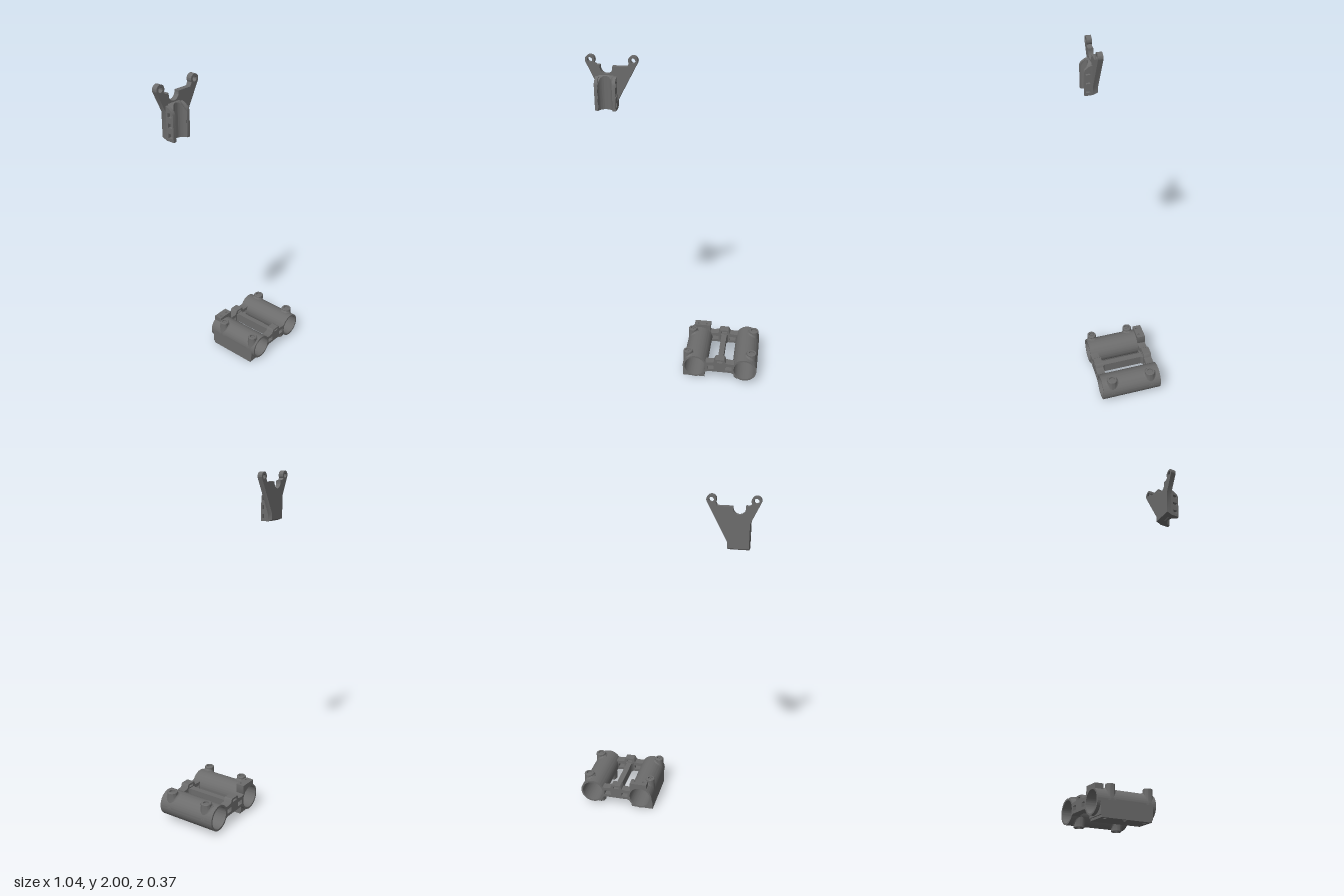
import * as THREE from 'three';
import { toCreasedNormals } from 'three/addons/utils/BufferGeometryUtils.js';

const material = new THREE.MeshStandardMaterial({ color: 0x6c6c6c });
const OUTER = 0.077, BORE = 0.066, WALL = 0.071, AXIS = 0.097, HALF = 0.186;

function add(parent, name, geometry, x = 0, y = 0, z = 0) {
  const mesh = new THREE.Mesh(toCreasedNormals(geometry, 0.6), material);
  mesh.name = name;
  mesh.position.set(x, y, z);
  parent.add(mesh);
  return mesh;
}

// Extrusion along z that starts at z0
function extrude(shape, z0, depth) {
  return new THREE.ExtrudeGeometry(shape, { depth, bevelEnabled: false, curveSegments: 40 }).translate(0, 0, z0);
}

function polygon(points, Type = THREE.Shape) {
  return new Type(points.map(([x, y]) => new THREE.Vector2(x, y)));
}
const rect = (x0, y0, x1, y1, Type) => polygon([[x0, y0], [x1, y0], [x1, y1], [x0, y1]], Type);
const circle = (x, y, r) => new THREE.Path().absarc(x, y, r, 0, Math.PI * 2, true);

// Flat plate in x and z, hanging below y = top, with round holes at [x, z]
function addDrilledPlate(parent, name, outline, top, height, holes, r) {
  for (const [x, z] of holes) outline.holes.push(circle(x, z, r));
  add(parent, name, extrude(outline, 0, height).rotateX(Math.PI / 2), 0, top);
}

// Round screw boss whose flared foot follows the tube wall, in tube coordinates
function addBoss(parent, name, x, z, r) {
  const top = 0.096, hole = r * 0.56, foot = 0.02;
  const profile = [[r + 0.012, 0], [r + 0.01, 0.007], [r + 0.004, 0.01], [r, 0.016],
    [r, top - 0.004], [r - 0.003, top], [hole, top], [hole, top - 0.01], [0.0001, top - 0.01]];
  const geometry = new THREE.LatheGeometry(profile.map(([a, b]) => new THREE.Vector2(a, b)), 36);
  const p = geometry.attributes.position;
  for (let i = 0; i < p.count; i++) {
    const px = THREE.MathUtils.clamp(p.getX(i) + x, -OUTER, OUTER);
    p.setX(i, px - x);
    if (p.getY(i) < foot) p.setY(i, p.getY(i) + Math.sqrt(Math.max(0, WALL ** 2 - px ** 2)));
  }
  add(parent, name, geometry, x, 0, z);
}

function addTube(parent, name, x) {
  const tube = new THREE.Group();
  tube.name = name;
  tube.position.set(x, AXIS, 0);
  parent.add(tube);
  const ring = new THREE.Shape().absarc(0, 0, OUTER, 0, Math.PI * 2);
  ring.holes.push(circle(0, 0, BORE));
  add(tube, 'tubeWall', extrude(ring, -HALF, HALF * 2));
  return tube;
}

function createCarriage() {
  const carriage = new THREE.Group();
  carriage.name = 'carriage';
  const xs = [0.13, 0.443];

  // Tube with the mounting rail below and the switch pad on top
  const railTube = addTube(carriage, 'railTube', xs[0]);
  for (const z of [-0.095, 0.148]) {
    addBoss(railTube, 'topBoss', -0.048, z, 0.028);
    add(railTube, 'screwSlot', new THREE.BoxGeometry(0.004, 0.006, 0.03), -0.048, 0.088, z);
  }
  const railEnd = 0.165;
  const rail = polygon([[-0.077, 0], [-0.077, -0.083], [0.06, -0.083], [0.06, -0.038]]);
  rail.absarc(0, 0, WALL, -0.564, -Math.PI, true);
  add(railTube, 'mountingRail', extrude(rail, -railEnd, railEnd * 2));
  addDrilledPlate(railTube, 'railFoot', rect(-0.077, -railEnd + 0.008, 0.06, railEnd - 0.008),
    -0.083, 0.014, [[-0.045, -0.125], [-0.045, 0], [-0.045, 0.125]], 0.011);
  const pad = polygon([[0.064, 0.031], [0.064, 0.086], [-0.042, 0.086]]);
  pad.absarc(0, 0, WALL, 2.2, 0.45, true);
  add(railTube, 'switchPad', extrude(pad, -HALF, 0.052));
  addDrilledPlate(railTube, 'padTop', rect(-0.042, -HALF, 0.064, -0.134),
    0.096, 0.01, [[-0.016, -0.151], [0.038, -0.151]], 0.007);

  // Tube with screw bosses above and below
  const bossTube = addTube(carriage, 'bossTube', xs[1]);
  const lower = new THREE.Group();
  lower.name = 'lowerBosses';
  lower.rotation.z = Math.PI;
  bossTube.add(lower);
  for (const z of [-0.123, 0.123]) {
    addBoss(bossTube, 'topBoss', 0.039, z, 0.031);
    addBoss(lower, 'bottomBoss', 0.038, z, 0.031);
  }

  // Windowed end bridges with a slotted hump, joined by a spine
  const bridge = new THREE.Shape();
  bridge.absarc(xs[0], AXIS, WALL, 0.6, -0.6, true);
  bridge.lineTo(0.215, 0.069);
  bridge.lineTo(0.358, 0.069);
  bridge.absarc(xs[1], AXIS, WALL, Math.PI + 0.6, Math.PI - 0.6, true);
  for (const [x, y] of [[0.36, 0.133], [0.325, 0.137], [0.317, 0.158], [0.313, 0.161],
    [0.261, 0.161], [0.257, 0.158], [0.249, 0.137], [0.214, 0.133]]) {
    bridge.lineTo(x, y);
  }
  bridge.holes.push(
    rect(0.21, 0.086, 0.251, 0.113, THREE.Path),
    rect(0.322, 0.086, 0.363, 0.113, THREE.Path),
    rect(0.27, 0.137, 0.304, 0.15, THREE.Path));
  for (const z of [-HALF, HALF - 0.05]) add(carriage, 'endBridge', extrude(bridge, z, 0.05));
  add(carriage, 'spine', new THREE.BoxGeometry(0.034, 0.062, 0.28), 0.287, 0.1, 0);

  // Flared roots where the spine meets the bridges
  for (const side of [-1, 1]) {
    const root = polygon([[-0.028, 0.137], [0.028, 0.137], [0.017, 0.122], [-0.017, 0.122]]);
    const flare = add(carriage, 'spineRoot', extrude(root, -0.031, 0.062), 0.287, 0.1, 0);
    flare.rotation.x = side * Math.PI / 2;
  }
  return carriage;
}

function createBracket() {
  const bracket = new THREE.Group();
  bracket.name = 'bracket';
  const left = -0.466, right = -0.347, deg = Math.PI / 180;

  // Back plate with two eyed ears and a U notch
  const plate = new THREE.Shape();
  plate.moveTo(left, 1.7);
  plate.lineTo(right, 1.7);
  plate.lineTo(right, 1.745);
  plate.absarc(-0.253, 1.973, 0.027, -28 * deg, 210 * deg);
  plate.lineTo(-0.285, 1.94);
  plate.lineTo(-0.37, 1.94);
  plate.absarc(-0.405, 1.932, 0.035, 0, -Math.PI, true);
  plate.lineTo(-0.44, 1.945);
  plate.lineTo(-0.46, 1.945);
  plate.absarc(-0.495, 1.973, 0.027, -40 * deg, 206 * deg);
  plate.lineTo(left, 1.85);
  plate.holes.push(circle(-0.253, 1.973, 0.014), circle(-0.495, 1.973, 0.014));
  const plateGeometry = extrude(plate, -0.03, 0.031);
  // Chamfer along the lower back edge
  const q = plateGeometry.attributes.position;
  for (let i = 0; i < q.count; i++) {
    if (q.getZ(i) < -0.02 && q.getY(i) < 1.701) q.setY(i, 1.712);
  }
  add(bracket, 'earPlate', plateGeometry);

  // Side ribs with tie slots, profile drawn as (-z, y) and turned to run along x
  for (const x of [left, right - 0.018]) {
    const rib = polygon([[0.002, 1.7], [0.002, 1.885], [-0.02, 1.878], [-0.044, 1.86], [-0.05, 1.845], [-0.05, 1.7]]);
    for (const y of [1.73, 1.785, 1.84]) {
      rib.holes.push(rect(-0.041, y - 0.012, -0.014, y + 0.012, THREE.Path));
    }
    add(bracket, 'slottedRib', extrude(rib, 0, 0.018).rotateY(Math.PI / 2), x);
  }

  // Concave saddle between the ribs, its top sloping forward and to the sides
  const saddle = polygon([[-0.0425, 0.002], [-0.0425, -0.046]]);
  saddle.absarc(0, -0.054, 0.041, 170 * deg, 10 * deg, true);
  saddle.lineTo(0.0425, -0.046);
  saddle.lineTo(0.0425, 0.002);
  const geometry = extrude(saddle, 0, 1).rotateX(-Math.PI / 2);
  const p = geometry.attributes.position;
  for (let i = 0; i < p.count; i++) {
    const slope = 1.1 * Math.max(0, p.getZ(i)) + Math.max(0, Math.abs(p.getX(i)) - 0.03);
    p.setY(i, p.getY(i) > 0.5 ? 1.904 - slope : 1.7);
  }
  add(bracket, 'saddle', geometry, (left + right) / 2);
  return bracket;
}

export function createModel() {
  const model = new THREE.Group();
  model.name = 'carriageAndBracket';
  model.add(createCarriage(), createBracket());
  return model;
}
